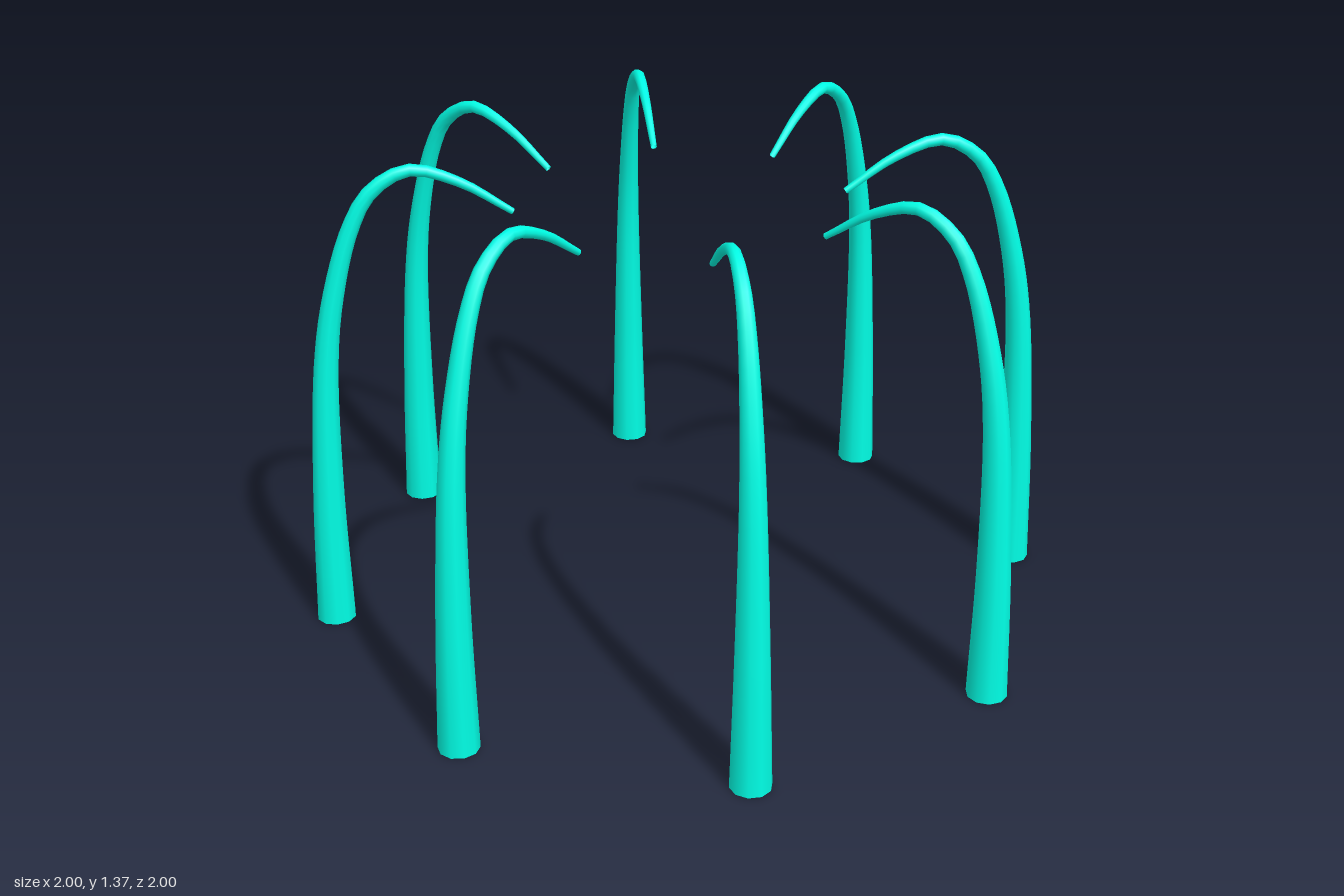
import * as THREE from 'three';

const SIDES = 10, STEPS = 40, BASE_R = 0.057, TIP_R = 0.009;

// Centre line of one arm: [distance from the middle, height]
const PATH = [
  [1.023, 0], [1.018, 0.4], [0.997, 0.8], [0.965, 1.0], [0.905, 1.2],
  [0.845, 1.3], [0.742, 1.355], [0.61, 1.315], [0.465, 1.22],
];

// Open tube whose rings shrink steadily towards the tip
function taperedTube(curve) {
  const geo = new THREE.TubeGeometry(curve, STEPS, 1, SIDES, false);
  const pos = geo.attributes.position, v = new THREE.Vector3();
  for (let i = 0; i <= STEPS; i++) {
    const centre = curve.getPointAt(i / STEPS);
    const r = THREE.MathUtils.lerp(BASE_R, TIP_R, i / STEPS);
    for (let j = 0; j <= SIDES; j++) {
      const k = i * (SIDES + 1) + j;
      v.fromBufferAttribute(pos, k).sub(centre).multiplyScalar(r).add(centre);
      pos.setXYZ(k, v.x, i === 0 ? 0 : v.y, v.z); // foot ring lies flat
    }
  }
  return geo;
}

export function createModel() {
  const model = new THREE.Group();
  model.name = 'ringOfArms';
  const material = new THREE.MeshStandardMaterial({ color: 0x00ffe6, side: THREE.DoubleSide });
  const curve = new THREE.CatmullRomCurve3(PATH.map(([r, y]) => new THREE.Vector3(r, y, 0)));
  const tube = taperedTube(curve);

  // Eight equal arms turned about the middle
  for (let i = 0; i < 8; i++) {
    const arm = new THREE.Mesh(tube, material);
    arm.name = `arm${i + 1}`;
    arm.rotation.y = (i + 0.5) * Math.PI / 4;
    model.add(arm);
  }
  return model;
}
